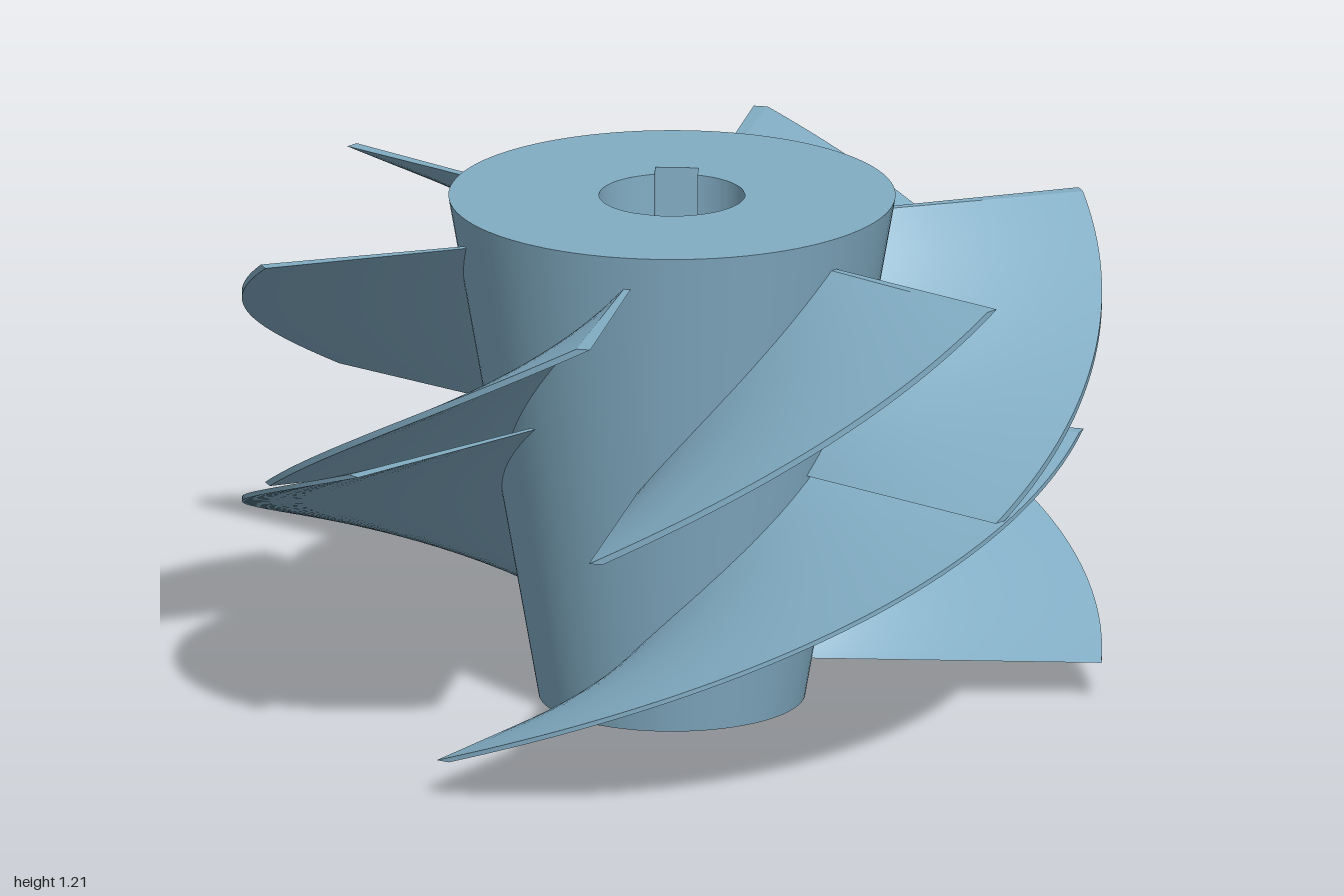
import * as THREE from 'three';
import { toCreasedNormals } from 'three/addons/utils/BufferGeometryUtils.js';

const HEIGHT = 1.21, R_BOTTOM = 0.31, R_TOP = 0.52;
const hubRadius = (y) => R_BOTTOM + (R_TOP - R_BOTTOM) * (y / HEIGHT);
const rad = THREE.MathUtils.degToRad;

// Tapered hub with a keyed bore
function hubGeometry() {
  const bore = 0.17, keyHalf = 0.05, keyDepth = 0.22;
  const shape = new THREE.Shape().absarc(0, 0, 1, 0, Math.PI * 2, false);
  const a = Math.acos(keyHalf / bore);
  const hole = new THREE.Path();
  hole.moveTo(keyHalf, keyDepth);
  hole.lineTo(keyHalf, bore * Math.sin(a));
  hole.absarc(0, 0, bore, a, Math.PI - a, true);
  hole.lineTo(-keyHalf, keyDepth);
  hole.closePath();
  shape.holes.push(hole);

  const geo = new THREE.ExtrudeGeometry(shape, { depth: HEIGHT, bevelEnabled: false, curveSegments: 48 });
  geo.rotateX(-Math.PI / 2);
  // Only the outer ring follows the taper
  const p = geo.attributes.position;
  for (let i = 0; i < p.count; i++) {
    if (Math.hypot(p.getX(i), p.getZ(i)) < 0.5) continue;
    const s = hubRadius(p.getY(i));
    p.setXYZ(i, p.getX(i) * s, p.getY(i), p.getZ(i) * s);
  }
  return toCreasedNormals(geo, 0.5);
}

// Helical blade: a box whose x is the radius, y the rise and z the thickness
function bladeGeometry(y0, y1, startDeg, twistDeg, thickDeg = 1.9) {
  const geo = new THREE.BoxGeometry(1, 1, 1, 8, 40, 1);
  const p = geo.attributes.position;
  for (let i = 0; i < p.count; i++) {
    const t = p.getY(i) + 0.5;
    const y = y0 + (y1 - y0) * t;
    const r = THREE.MathUtils.lerp(hubRadius(y) - 0.03, 1, p.getX(i) + 0.5);
    const angle = rad(startDeg + twistDeg * t + thickDeg * (0.5 - p.getZ(i)));
    p.setXYZ(i, r * Math.cos(angle), y, -r * Math.sin(angle));
  }
  geo.computeVertexNormals();
  return geo;
}

export function createModel() {
  const model = new THREE.Group();
  model.name = 'impeller';
  const metal = new THREE.MeshStandardMaterial({ color: 0x82adc4 });
  metal.name = 'blue grey metal';

  const add = (name, geo) => {
    const mesh = new THREE.Mesh(geo, metal);
    mesh.name = name;
    model.add(mesh);
  };

  add('hub', hubGeometry());
  // Three long lower blades
  for (let i = 0; i < 3; i++) add('lowerBlade' + (i + 1), bladeGeometry(0.09, 0.73, i * 120, 104.4));
  // Six short upper blades
  for (let i = 0; i < 6; i++) add('upperBlade' + (i + 1), bladeGeometry(0.61, 1.13, -98 + i * 60, 58.3));

  return model;
}
